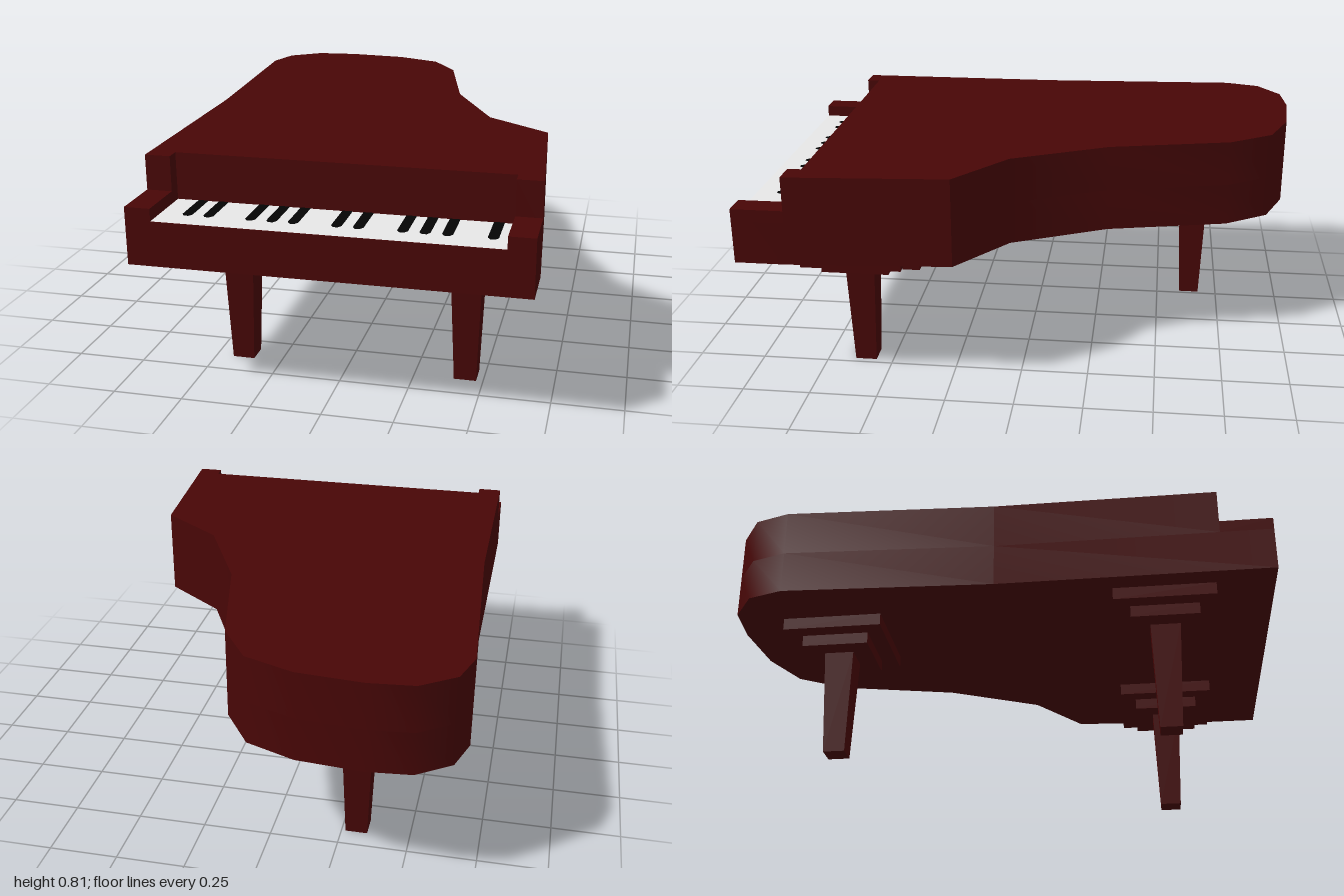
import * as THREE from 'three';
import { toCreasedNormals } from 'three/addons/utils/BufferGeometryUtils.js';

const wood = new THREE.MeshStandardMaterial({ color: 0x480606 });
wood.name = 'dark red wood';
const ivory = new THREE.MeshStandardMaterial({ color: 0xf4f4f4 });
ivory.name = 'ivory white';
const ebony = new THREE.MeshStandardMaterial({ color: 0x040404 });
ebony.name = 'ebony black';

// Plan of the case as [x, z]: curved side, tail and straight side, then the two kinds of front
const curve = [[0.7, 0.81], [0.657, 0.225], [0.42, 0.05], [0.247, -0.3], [0.143, -0.75], [0.035, -0.91],
  [-0.145, -0.98], [-0.38, -1], [-0.54, -0.985], [-0.66, -0.9], [-0.7, -0.77], [-0.66, 0]];
const basePlan = [[0.7, 1], ...curve, [-0.66, 1]];
const lidPlan = [...curve, [-0.66, 0.81], [-0.57, 0.81], [-0.57, 0.76], [0.61, 0.76], [0.61, 0.81]];

const makeShape = (pts) => new THREE.Shape(pts.map(([x, z]) => new THREE.Vector2(x, -z)));

// Upright slab from a plan outline
function slab(pts, y0, y1) {
  const geo = new THREE.ExtrudeGeometry(makeShape(pts), { depth: y1 - y0, bevelEnabled: false });
  geo.rotateX(-Math.PI / 2).translate(0, y0, 0);
  return toCreasedNormals(geo, 0.8);
}

// Single upward face from a plan outline
function face(pts, y) {
  return new THREE.ShapeGeometry(makeShape(pts)).rotateX(-Math.PI / 2).translate(0, y, 0);
}

function box(x0, x1, y0, y1, z0, z1) {
  return new THREE.BoxGeometry(x1 - x0, y1 - y0, z1 - z0)
    .translate((x0 + x1) / 2, (y0 + y1) / 2, (z0 + z1) / 2);
}

function add(parent, name, geometry, material) {
  const mesh = new THREE.Mesh(geometry, material);
  mesh.name = name;
  parent.add(mesh);
}

// Square tapered leg under two stepped blocks
function makeLeg(name, x, z) {
  const leg = new THREE.Group();
  leg.name = name;
  add(leg, 'upperBlock', box(-0.185, 0.185, 0.442, 0.487, -0.185, 0.185), wood);
  add(leg, 'lowerBlock', box(-0.125, 0.125, 0.399, 0.442, -0.125, 0.125), wood);
  const post = new THREE.CylinderGeometry(0.055 * Math.SQRT2, 0.04 * Math.SQRT2, 0.399, 4, 1, false, Math.PI / 4);
  add(leg, 'post', toCreasedNormals(post.translate(0, 0.1995, 0), 0.5), wood);
  leg.position.set(x, 0, z);
  return leg;
}

export function createModel() {
  const piano = new THREE.Group();
  piano.name = 'grandPiano';

  // Case: full base and the closed body behind the keys
  add(piano, 'caseBase', slab(basePlan, 0.487, 0.645), wood);
  add(piano, 'caseBody', slab(lidPlan, 0.645, 0.815), wood);

  // Cheeks on both sides of the keyboard
  add(piano, 'rightCheek', box(-0.66, -0.57, 0.645, 0.69, 0.81, 1), wood);
  add(piano, 'leftCheek', box(0.61, 0.7, 0.645, 0.69, 0.81, 1), wood);

  // Keyboard: painted white bed with pointed black keys
  const keyboard = new THREE.Group();
  keyboard.name = 'keyboard';
  piano.add(keyboard);
  add(keyboard, 'whiteKeys', face([[-0.57, 0.76], [-0.57, 1], [0.61, 1], [0.61, 0.76]], 0.6465), ivory);
  for (const step of [0, 1, 3, 4, 5, 7, 8, 10, 11, 12, 14]) {
    const x = -0.475 + step * 0.0735;
    const key = [[x - 0.018, 0.76], [x - 0.018, 0.91], [x - 0.008, 0.925],
      [x + 0.008, 0.925], [x + 0.018, 0.91], [x + 0.018, 0.76]];
    add(keyboard, 'blackKey', face(key, 0.648), ebony);
  }

  // Three legs
  piano.add(makeLeg('frontLeftLeg', 0.435, 0.605));
  piano.add(makeLeg('frontRightLeg', -0.395, 0.605));
  piano.add(makeLeg('backLeg', -0.305, -0.635));
  return piano;
}
